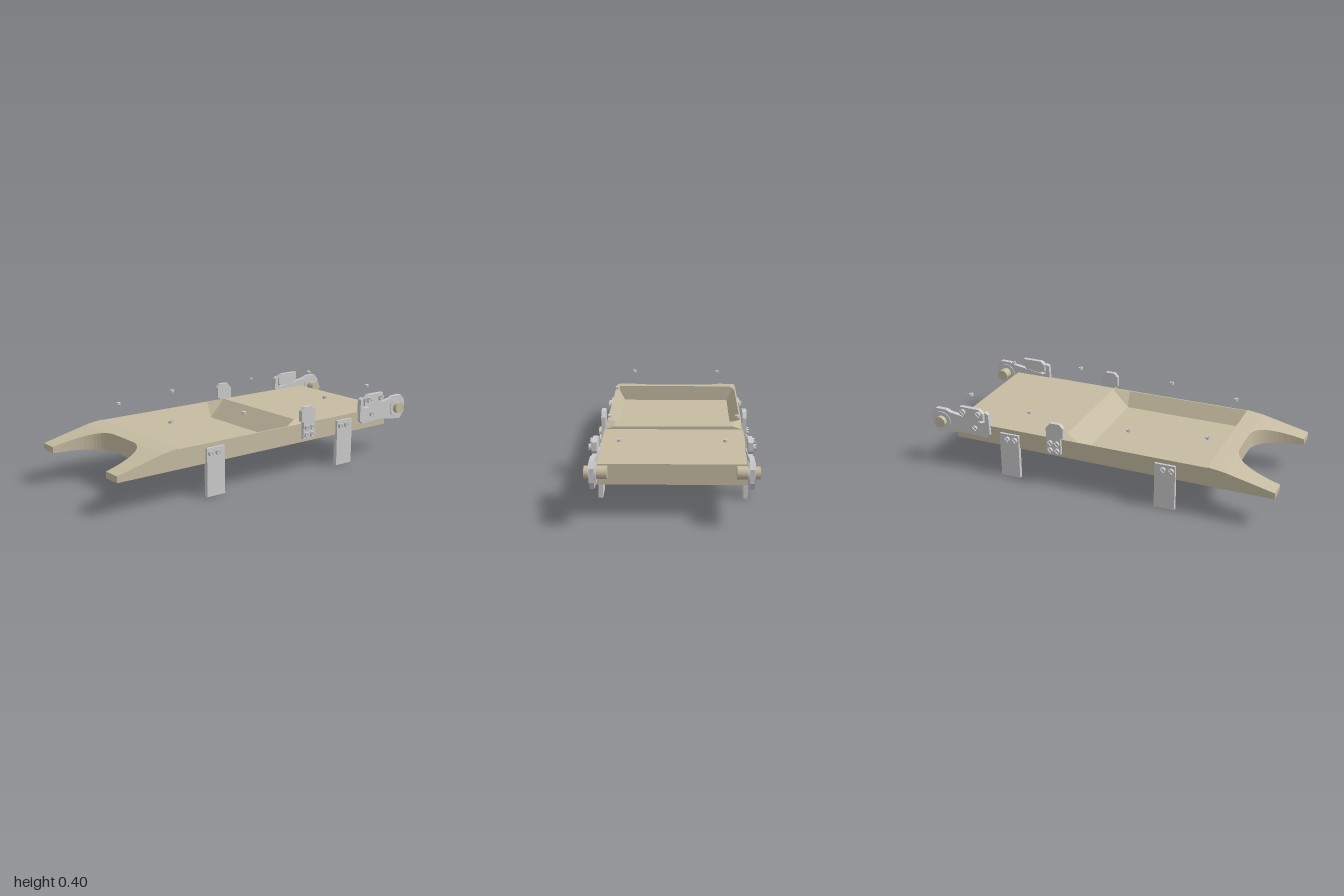
import * as THREE from 'three';
import { ConvexGeometry } from 'three/addons/geometries/ConvexGeometry.js';

const tan = new THREE.MeshStandardMaterial({ color: 0xc6bca2, flatShading: true });
const grey = new THREE.MeshStandardMaterial({ color: 0xcccccc, flatShading: true });
const tanSmooth = new THREE.MeshStandardMaterial({ color: 0xc6bca2 });
const greySmooth = new THREE.MeshStandardMaterial({ color: 0xcccccc });

function add(parent, name, geometry, material) {
  const mesh = new THREE.Mesh(geometry, material);
  mesh.name = name;
  parent.add(mesh);
  return mesh;
}

const hull = (points) => new ConvexGeometry(points.map((p) => new THREE.Vector3(...p)));

function block(x0, x1, y0, y1, z0, z1) {
  return new THREE.BoxGeometry(x1 - x0, y1 - y0, z1 - z0)
    .translate((x0 + x1) / 2, (y0 + y1) / 2, (z0 + z1) / 2);
}

// Flat plate from a [z, y] outline, on the side given by the sign
function plate(outline, side, inner, outer) {
  const shape = new THREE.Shape(outline.map(([z, y]) => new THREE.Vector2(-z, y)));
  return new THREE.ExtrudeGeometry(shape, { depth: outer - inner, bevelEnabled: false })
    .rotateY(Math.PI / 2)
    .translate(side > 0 ? inner : -outer, 0, 0);
}

// Slotted screw head pointing up, base at its origin
function screw(parent, name, radius, height) {
  const group = new THREE.Group();
  group.name = name;
  add(group, 'screwBase', new THREE.CylinderGeometry(radius, radius, height * 0.6, 16)
    .translate(0, height * 0.3, 0), greySmooth);
  for (const turn of [0, Math.PI]) {
    const half = new THREE.Shape();
    half.absarc(0, 0, radius, 0.2, Math.PI - 0.2, false);
    add(group, 'screwHalf', new THREE.ExtrudeGeometry(half, { depth: height * 0.4, bevelEnabled: false, curveSegments: 8 })
      .rotateX(-Math.PI / 2).rotateY(turn + Math.PI / 4).translate(0, height * 0.6, 0), greySmooth);
  }
  parent.add(group);
  return group;
}

function sideScrew(parent, side, x, y, z, radius = 0.015) {
  const s = screw(parent, 'sideScrew', radius, 0.016);
  s.position.set(side * x, y, z);
  s.rotation.z = -side * Math.PI / 2;
}

// Tapered front prong beside the curved cut-out
function prong(side) {
  const s = new THREE.Shape();
  s.moveTo(side * 0.375, 0.73);
  s.lineTo(side * 0.375, 1);
  s.lineTo(side * 0.275, 1);
  s.bezierCurveTo(side * 0.26, 0.8, side * 0.18, 0.73, side * 0.09, 0.73);
  const g = new THREE.ExtrudeGeometry(s, { depth: 1, bevelEnabled: false, curveSegments: 14 })
    .rotateX(Math.PI / 2);
  const p = g.attributes.position;
  for (let i = 0; i < p.count; i++) {
    const slope = 0.278 - (p.getZ(i) - 0.73) * 0.235;
    p.setY(i, p.getY(i) > -0.5 ? slope : 0.18);
  }
  g.computeVertexNormals();
  return g;
}

const bracketOutline = [[-0.174, 0.3], [-0.174, 0.36], [-0.195, 0.382], [-0.25, 0.382],
  [-0.275, 0.35], [-0.275, 0.2], [-0.19, 0.2], [-0.19, 0.295]];
const armOutline = [[-0.633, 0.36], [-0.655, 0.37], [-0.655, 0.31], [-0.675, 0.302], [-0.88, 0.333],
  [-0.905, 0.345], [-0.97, 0.345], [-1, 0.312], [-1, 0.242], [-0.965, 0.2], [-0.89, 0.21],
  [-0.81, 0.222], [-0.65, 0.216], [-0.628, 0.237]];
const clampOutline = [[-0.665, 0.36], [-0.692, 0.382], [-0.81, 0.382], [-0.81, 0.34],
  [-0.788, 0.318], [-0.7, 0.308], [-0.665, 0.32]];

export function createModel() {
  const model = new THREE.Group();

  // Bed: rear deck, sunken tray floor and front sill
  const bed = new THREE.Group();
  bed.name = 'bed';
  model.add(bed);
  add(bed, 'rearDeck', block(-0.375, 0.375, 0.18, 0.286, -0.85, -0.275), tan);
  add(bed, 'trayFloor', block(-0.375, 0.375, 0.18, 0.2, -0.275, 0.64), tan);
  const sill = [], ridge = [];
  for (const x of [-0.375, 0.375]) {
    sill.push([x, 0.18, 0.64], [x, 0.29, 0.64], [x, 0.18, 0.73], [x, 0.278, 0.73]);
  }
  for (const x of [-0.322, 0.322]) {
    ridge.push([x, 0.2, -0.275], [x, 0.302, -0.275], [x, 0.302, -0.18], [x, 0.2, -0.085]);
  }
  add(bed, 'frontSill', hull(sill), tan);
  add(bed, 'trayBackRidge', hull(ridge), tan);

  for (const side of [1, -1]) {
    const m = (pts) => hull(pts.map(([x, y, z]) => [side * x, y, z]));
    add(bed, 'frontProng', prong(side), tan);
    // Sloped tray sides and chamfered back corners
    const wall = [];
    for (const z of [-0.09, 0.64]) {
      wall.push([0.375, 0.2, z], [0.375, 0.286, z], [0.367, 0.286, z], [0.322, 0.2, z]);
    }
    add(bed, 'traySide', m(wall), tan);
    add(bed, 'trayCorner', m([[0.322, 0.2, -0.085], [0.322, 0.302, -0.18], [0.367, 0.286, -0.09],
      [0.375, 0.286, -0.09], [0.375, 0.2, -0.09], [0.322, 0.2, -0.275], [0.322, 0.302, -0.275],
      [0.375, 0.2, -0.275], [0.375, 0.286, -0.275]]), tan);

    // Legs with two screws each
    for (const z of [0.412, -0.508]) {
      const leg = new THREE.Group();
      leg.name = z > 0 ? 'frontLeg' : 'rearLeg';
      model.add(leg);
      add(leg, 'legPlate', plate([[z - 0.058, 0], [z - 0.058, 0.262], [z + 0.058, 0.262], [z + 0.058, 0]],
        side, 0.366, 0.389), grey);
      for (const dz of [0.037, -0.009]) sideScrew(leg, side, 0.389, 0.234, z + dz);
    }

    // Middle bracket with four screws
    const bracket = new THREE.Group();
    bracket.name = 'middleBracket';
    model.add(bracket);
    add(bracket, 'bracketPlate', plate(bracketOutline, side, 0.37, 0.393), grey);
    for (const z of [-0.21, -0.25]) {
      for (const y of [0.222, 0.265]) sideScrew(bracket, side, 0.392, y, z);
    }

    // Rear arm, clamp and axle
    const arm = new THREE.Group();
    arm.name = 'rearArm';
    model.add(arm);
    add(arm, 'armPlate', plate(armOutline, side, 0.367, 0.392), grey);
    add(arm, 'armClamp', plate(clampOutline, side, 0.37, 0.395), grey);
    sideScrew(arm, side, 0.39, 0.265, -0.72);
    for (const z of [-0.693, -0.79]) sideScrew(arm, side, 0.394, 0.354, z, 0.017);
    const disc = (r, x0, x1) => new THREE.CylinderGeometry(r, r, x1 - x0, 28)
      .rotateZ(Math.PI / 2).translate(side * (x0 + x1) / 2, 0.273, -0.933);
    add(arm, 'axleWasher', disc(0.055, 0.362, 0.397), greySmooth);
    add(arm, 'axle', disc(0.032, 0.31, 0.421), tanSmooth);

    // Loose screws hovering above the bed
    for (const [x, z] of [[0.257, -0.815], [0.335, -0.4], [0.335, 0.187], [0.257, 0.6]]) {
      screw(model, 'topScrew', 0.0125, 0.013).position.set(side * x, 0.391, z);
    }
  }
  return model;
}
